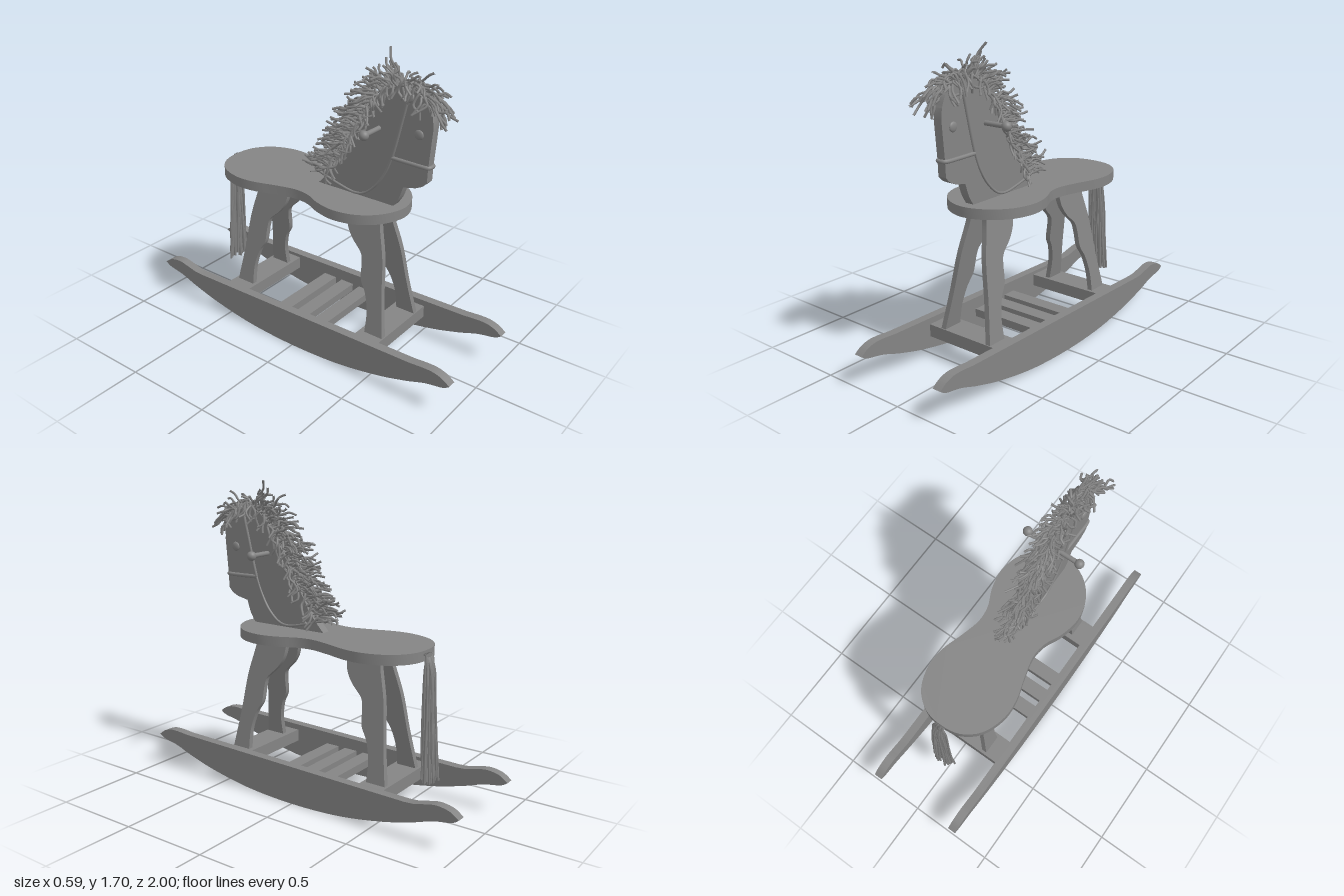
import * as THREE from 'three';
import { toCreasedNormals } from 'three/addons/utils/BufferGeometryUtils.js';

const wood = new THREE.MeshStandardMaterial({ color: 0x848484 });
const V = (x, y, z) => new THREE.Vector3(x, y, z);

function seeded(seed) {
  let s = seed;
  return () => (s = (s * 16807) % 2147483647) / 2147483647;
}

function add(parent, name, geometry, x = 0, y = 0, z = 0) {
  const mesh = new THREE.Mesh(geometry, wood);
  mesh.name = name;
  mesh.position.set(x, y, z);
  parent.add(mesh);
}

function addGroup(parent, name, x = 0) {
  const group = new THREE.Group();
  group.name = name;
  group.position.x = x;
  parent.add(group);
  return group;
}

// Flat board cut from a side profile of [z, y] points; runs of points are smoothed into splines
function board(runs, thickness) {
  const shape = new THREE.Shape();
  runs.forEach((run, i) => {
    const pts = run.map(p => new THREE.Vector2(...p));
    if (i === 0) shape.moveTo(pts[0].x, pts[0].y);
    else shape.lineTo(pts[0].x, pts[0].y);
    if (pts.length > 2) shape.splineThru(pts.slice(1));
    else pts.slice(1).forEach(p => shape.lineTo(p.x, p.y));
  });
  const geo = new THREE.ExtrudeGeometry(shape, { depth: thickness, bevelEnabled: false, curveSegments: 32 });
  return geo.translate(0, 0, -thickness / 2).rotateY(-Math.PI / 2);
}

function cord(points, radius, segments, sides) {
  return new THREE.TubeGeometry(new THREE.CatmullRomCurve3(points), segments, radius, sides);
}

function buildRockers(group) {
  const geo = toCreasedNormals(board([
    [[1, 0.187], [0.96, 0.215], [0.91, 0.231], [0.85, 0.233], [0.77, 0.227]],
    [[0.7, 0.226], [-0.7, 0.203]],
    [[-0.75, 0.206], [-0.82, 0.222], [-0.88, 0.232], [-0.95, 0.22], [-1, 0.187]],
    [[-1, 0.187], [-0.96, 0.165], [-0.86, 0.145], [-0.74, 0.105], [-0.56, 0.058], [-0.3, 0.016], [0, 0.002],
      [0.3, 0.016], [0.56, 0.058], [0.74, 0.105], [0.86, 0.145], [0.96, 0.165], [1, 0.187]],
  ], 0.05), 0.5);
  for (const side of [1, -1]) add(group, side > 0 ? 'leftRocker' : 'rightRocker', geo, side * 0.27);
}

function buildCrossbars(group) {
  for (const z of [0.445, -0.455])
    add(group, 'legCrossbar', new THREE.BoxGeometry(0.5, 0.07, 0.15), 0, 0.153, z);
  for (const z of [0.112, -0.016, -0.143])
    add(group, 'footSlat', new THREE.BoxGeometry(0.5, 0.045, 0.083), 0, 0.126, z);
}

// Four carved legs, splayed sideways by a shear
function buildLegs(group) {
  const outer = [[0.41, 0.86], [0.415, 0.78], [0.455, 0.61], [0.48, 0.4], [0.515, 0.18]];
  const inner = [[0.4, 0.18], [0.4, 0.3], [0.375, 0.4], [0.338, 0.47], [0.33, 0.56], [0.315, 0.615],
    [0.25, 0.68], [0.212, 0.75], [0.2, 0.86]];
  for (const end of [1, -1]) {
    for (const side of [1, -1]) {
      const geo = board([outer, inner].map(run => run.map(([z, y]) => [z * end, y])), 0.03);
      const p = geo.attributes.position;
      for (let i = 0; i < p.count; i++)
        p.setX(i, p.getX(i) + side * (0.045 + (0.85 - p.getY(i)) * 0.167));
      geo.computeVertexNormals();
      add(group, end > 0 ? 'frontLeg' : 'backLeg', toCreasedNormals(geo, 0.5));
    }
  }
}

// Waisted seat plank
function buildSeat(group) {
  const half = [[0.13, 0.477], [0.22, 0.38], [0.254, 0.25], [0.232, 0.13], [0.188, 0.03], [0.178, -0.06],
    [0.205, -0.18], [0.243, -0.31], [0.247, -0.42], [0.2, -0.55], [0.11, -0.625]];
  const mirrored = half.map(([x, z]) => [-x, z]).reverse();
  const outline = [[0, 0.52], ...half, [0, -0.645], ...mirrored];
  const curve = new THREE.CatmullRomCurve3(outline.map(([x, z]) => V(x, z, 0)), true);
  const shape = new THREE.Shape(curve.getPoints(96).slice(0, -1).map(p => new THREE.Vector2(p.x, p.y)));
  const geo = new THREE.ExtrudeGeometry(shape, { depth: 0.055, bevelEnabled: false });
  geo.rotateX(Math.PI / 2).translate(0, 0.901, 0);
  add(group, 'seat', toCreasedNormals(geo, 0.5));
}

function buildHead(group) {
  const geo = board([
    [[0.455, 0.895], [0.49, 0.95], [0.515, 1.02]],
    [[0.585, 1.035], [0.625, 1.055], [0.65, 1.08]],
    [[0.653, 1.16], [0.67, 1.36]],
    [[0.665, 1.42], [0.63, 1.49], [0.54, 1.535], [0.44, 1.53], [0.35, 1.46], [0.25, 1.31], [0.14, 1.12],
      [0.06, 0.99], [-0.025, 0.895]],
  ], 0.05);
  add(group, 'head', toCreasedNormals(geo, 0.5));

  // Grip through the head, with a ball on each end
  add(group, 'handle', new THREE.CylinderGeometry(0.013, 0.013, 0.31, 16).rotateZ(Math.PI / 2), 0.003, 1.301, 0.36);
  for (const side of [1, -1]) {
    add(group, 'handleKnob', new THREE.SphereGeometry(0.026, 20, 14), 0.003 + side * 0.158, 1.301, 0.36);
    add(group, 'eye', new THREE.SphereGeometry(0.026, 20, 14).scale(0.4, 1, 1), side * 0.025, 1.32, 0.593);
  }
}

// Noseband, cheek strap and reins; each is one path mirrored across the head
function buildBridle(group) {
  const mirror = pts => [...pts, ...pts.map(p => V(-p.x, p.y, p.z)).reverse()];
  const x = 0.026;
  add(group, 'noseband', cord(mirror([
    V(x, 1.162, 0.445), V(x, 1.16, 0.55), V(x, 1.16, 0.645), V(0.018, 1.16, 0.656),
  ]), 0.011, 80, 8));
  add(group, 'cheekStrap', cord(mirror([
    V(x, 1.162, 0.442), V(x, 1.24, 0.463), V(x, 1.36, 0.492), V(x, 1.5, 0.525), V(0.02, 1.538, 0.53),
  ]), 0.009, 80, 8));
  add(group, 'reins', cord(mirror([
    V(x, 1.16, 0.442), V(x, 1.08, 0.41), V(0.03, 0.99, 0.355), V(0.032, 0.925, 0.28), V(0.032, 0.912, 0.22),
    V(0.032, 0.93, 0.12), V(0.03, 0.955, 0.03), V(0.016, 0.968, -0.03),
  ]), 0.007, 120, 6));
}

// Curly yarn strands rooted along the crest, flopping to both sides
function buildMane(group) {
  const rand = seeded(77);
  const spread = a => (rand() * 2 - 1) * a;
  const mane = addGroup(group, 'mane');
  const crest = new THREE.CatmullRomCurve3([V(0, 1.47, 0.635), V(0, 1.535, 0.54), V(0, 1.53, 0.43),
    V(0, 1.44, 0.335), V(0, 1.3, 0.245), V(0, 1.12, 0.14), V(0, 0.96, 0.03)]);
  const count = 260;
  for (let i = 0; i < count; i++) {
    const t = (i + rand()) / count;
    const root = crest.getPointAt(t);
    const tan = crest.getTangentAt(t);
    const swirl = t < 0.2 ? -1 : 0.45; // forelock falls forward, the rest backward
    const dir = V(0, -tan.z, tan.y).multiplyScalar(0.7 + rand() * 0.5)
      .addScaledVector(tan, swirl * (0.1 + rand() * 0.7));
    dir.x = spread(t > 0.55 ? 0.45 : 0.6);
    dir.normalize();
    const length = 0.1 + rand() * 0.09;
    const droop = t < 0.2 ? 0.05 + rand() * 0.11 : 0.01 + rand() * 0.07;
    const start = spread(0.02);
    const pts = [0, 0.25, 0.5, 0.75, 1].map(u => V(
      root.x + start * (1 - u) + dir.x * length * u + spread(0.013),
      Math.max(0.91, root.y + dir.y * length * u - droop * u * u + spread(0.013)),
      root.z + dir.z * length * u + spread(0.013)));
    add(mane, 'maneStrand', cord(pts, 0.0065, 12, 5));
  }

  // Shorter locks lying over the sides of the neck
  for (let i = 0; i < 90; i++) {
    const side = i % 2 ? 1 : -1;
    const root = crest.getPointAt((i + rand()) / 90);
    const pts = [0, 1, 2, 3].map(k => V(
      side * [0.01, 0.03, 0.038 + rand() * 0.02, 0.035 + rand() * 0.05][k],
      Math.max(0.91, root.y + [0.01, 0.015, -0.025, -0.06][k] + spread(0.015)),
      root.z + spread(0.02) + k * spread(0.012)));
    add(mane, 'maneLock', cord(pts, 0.0065, 8, 5));
  }
}

// Long yarn tail hanging from the back edge of the seat
function buildTail(group) {
  const rand = seeded(31);
  const tail = addGroup(group, 'tail', 0.006);
  for (let i = 0; i < 60; i++) {
    const a = rand() * Math.PI * 2, r = Math.sqrt(rand());
    const cx = Math.cos(a) * r, cz = Math.sin(a) * r;
    const wob = () => (rand() - 0.5) * 0.014;
    add(tail, 'tailStrand', cord([
      V(cx * 0.02, 0.88, -0.635),
      V(cx * 0.03, 0.888 + cz * 0.006, -0.655 - cz * 0.008),
      V(cx * 0.04 + wob(), 0.82, -0.665 + cz * 0.018),
      V(cx * 0.05 + wob(), 0.62, -0.673 + cz * 0.024 + wob()),
      V(cx * 0.062 + wob(), 0.42, -0.68 + cz * 0.03 + wob()),
      V(cx * 0.072 + wob(), 0.21 + rand() * 0.04, -0.687 + cz * 0.036),
    ], 0.0065, 20, 5));
  }
}

export function createModel() {
  const model = new THREE.Group();
  model.name = 'rockingHorse';
  const base = addGroup(model, 'base');
  [buildRockers, buildCrossbars].forEach(build => build(base));
  const body = addGroup(model, 'body', 0.005);
  [buildLegs, buildSeat, buildHead, buildBridle, buildMane, buildTail].forEach(build => build(body));
  return model;
}
